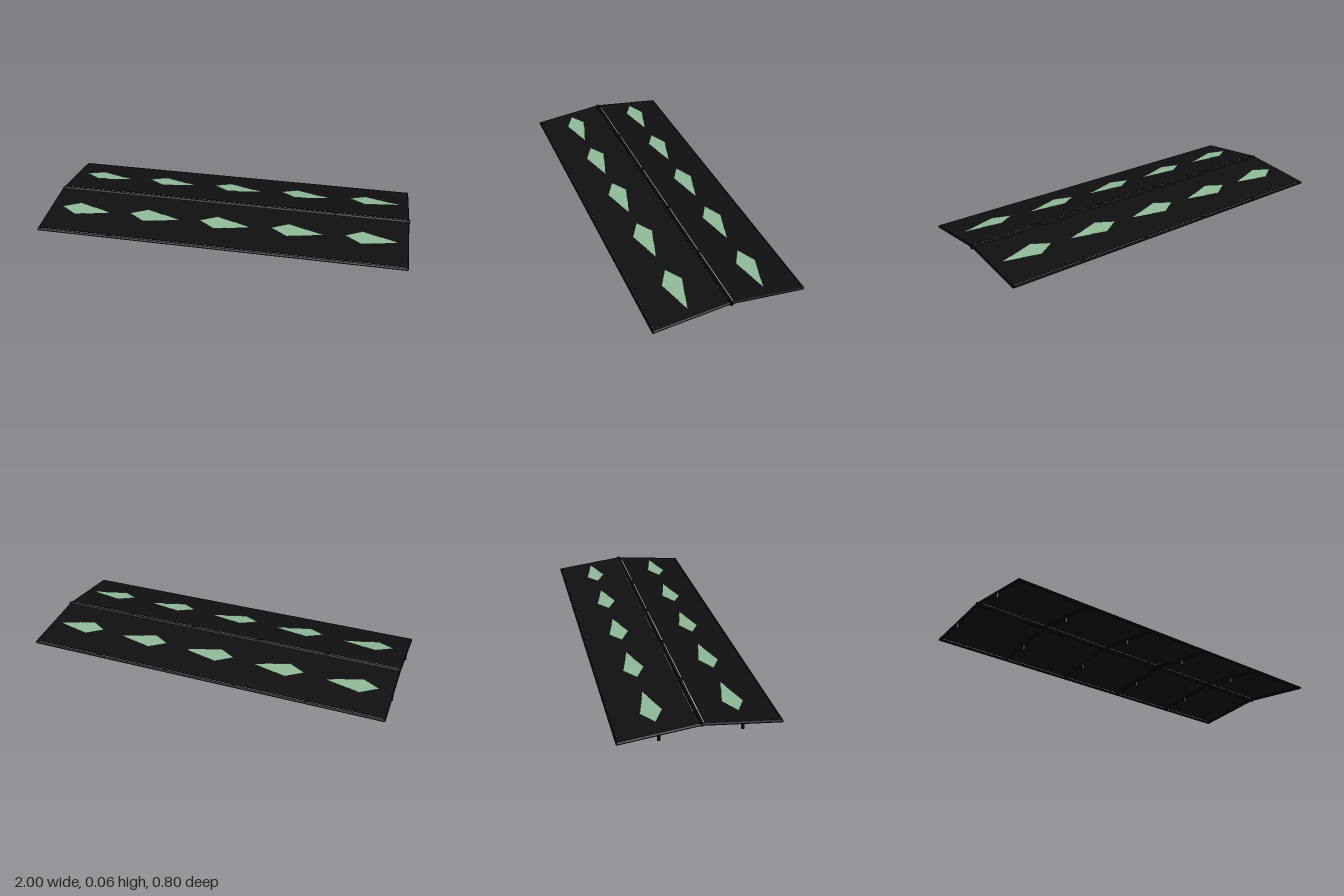
import * as THREE from 'three';

const frameMat = new THREE.MeshStandardMaterial({ color: 0x050505 });
frameMat.name = 'frame black';
const panelMat = new THREE.MeshStandardMaterial({ color: 0x0f0f0f });
panelMat.name = 'panel black';
const leafMat = new THREE.MeshStandardMaterial({ color: 0x8db795, side: THREE.DoubleSide });
leafMat.name = 'leaf green';

const BAYS = 5, PITCH = 0.396, START = -0.992;
const RIDGE = { y: 0.055, z: 0 }, EAVE = { y: 0.0115, z: 0.393 };

// Round bar between two points
function bar(name, a, b, radius) {
  const dir = new THREE.Vector3().subVectors(b, a);
  const mesh = new THREE.Mesh(new THREE.CylinderGeometry(radius, radius, dir.length(), 12), frameMat);
  mesh.position.copy(a).add(b).multiplyScalar(0.5);
  mesh.quaternion.setFromUnitVectors(new THREE.Vector3(0, 1, 0), dir.normalize());
  mesh.name = name;
  return mesh;
}

const v = (x, y, z) => new THREE.Vector3(x, y, z);

// Thin kite-shaped plate, long tip towards +x, tilted down the slope
function leafGeometry(side) {
  const geo = new THREE.BufferGeometry();
  const wide = 0.055;
  geo.setAttribute('position', new THREE.Float32BufferAttribute([
    -0.13, 0.0545, 0.2 * side,
    -0.037, 0.0445, (0.2 + wide) * side,
    0.15, 0.0425, 0.2 * side,
    -0.037, 0.0555, (0.2 - wide) * side,
  ], 3));
  geo.setIndex(side > 0 ? [0, 1, 2, 0, 2, 3] : [0, 2, 1, 0, 3, 2]);
  geo.computeVertexNormals();
  return geo;
}

export function createModel() {
  const root = new THREE.Group();
  root.name = 'pitchedRoof';

  root.add(bar('ridgeBar', v(-0.998, RIDGE.y, 0), v(1, RIDGE.y, 0), 0.01));

  const slope = Math.atan2(RIDGE.y - EAVE.y, EAVE.z);
  for (const side of [1, -1]) {
    const half = new THREE.Group();
    half.name = side > 0 ? 'frontSlope' : 'backSlope';
    root.add(half);

    // Eave bar along the lower edge
    half.add(bar('eaveBar', v(-0.996, EAVE.y, EAVE.z * side), v(0.992, EAVE.y, EAVE.z * side), 0.007));

    // Rafters at every joint, with a short post under all but the last
    for (let i = 0; i <= BAYS; i++) {
      const x = START + i * PITCH;
      half.add(bar('rafter', v(x, RIDGE.y, 0), v(x, EAVE.y, EAVE.z * side), 0.0075));
      if (i < BAYS) half.add(bar('post', v(x, 0, 0.2 * side), v(x, 0.035, 0.2 * side), 0.008));
    }

    // Roof panels with a leaf plate floating over each
    for (let i = 0; i < BAYS; i++) {
      const x = START + (i + 0.5) * PITCH;
      const panel = new THREE.Mesh(new THREE.BoxGeometry(PITCH, 0.002, 0.374), panelMat);
      panel.position.set(x, 0.0398, 0.201 * side);
      panel.rotation.x = slope * side;
      panel.name = 'panel';
      half.add(panel);

      const leaf = new THREE.Mesh(leafGeometry(side), leafMat);
      leaf.position.x = x - 0.003;
      leaf.name = 'leaf';
      half.add(leaf);
    }
  }
  return root;
}
